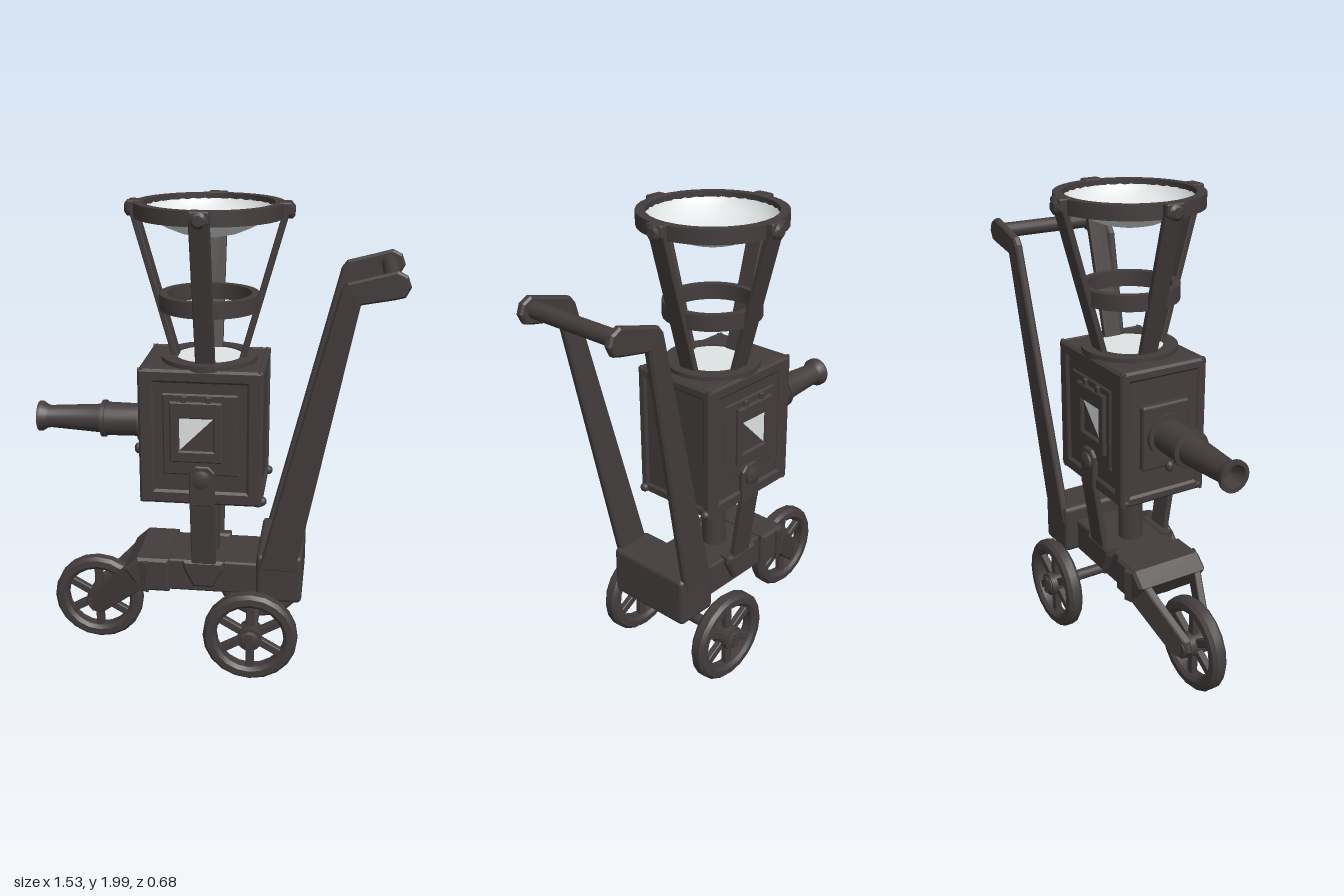
import * as THREE from 'three';
import { toCreasedNormals } from 'three/addons/utils/BufferGeometryUtils.js';
import { RoundedBoxGeometry } from 'three/addons/geometries/RoundedBoxGeometry.js';

const iron = new THREE.MeshStandardMaterial({ color: 0x433d3c });
iron.name = 'dark iron';
const white = new THREE.MeshStandardMaterial({ color: 0xe0e4e4, side: THREE.DoubleSide });
white.name = 'pale enamel';

const CX = -0.03; // axis of the hopper

function add(parent, name, geo, x = 0, y = 0, z = 0, mat = iron) {
  const m = new THREE.Mesh(geo, mat);
  m.name = name;
  m.position.set(x, y, z);
  parent.add(m);
  return m;
}
const box = (w, h, d, r = 0.012) => new RoundedBoxGeometry(w, h, d, 2, r);
const lathe = (pts, seg = 32) =>
  toCreasedNormals(new THREE.LatheGeometry(pts.map(p => new THREE.Vector2(...p)), seg), 0.7);
const band = (r0, r1, y0, y1, seg = 32) =>
  lathe([[r0, y0], [r1, y0], [r1, y1], [r0, y1], [r0, y0]], seg);

// Side outline in x/y, extruded to a slab centred on z = 0
function slab(pts, depth, hole, bevel = 0.005) {
  const shape = new THREE.Shape(pts.map(p => new THREE.Vector2(...p)));
  if (hole) shape.holes.push(new THREE.Path(hole.map(p => new THREE.Vector2(...p))));
  const g = new THREE.ExtrudeGeometry(shape, {
    depth: depth - 2 * bevel, bevelEnabled: bevel > 0, bevelSize: bevel,
    bevelThickness: bevel, bevelOffset: -bevel, bevelSegments: 1 });
  return g.translate(0, 0, bevel - depth / 2);
}
const rect = (x0, x1, y0, y1) => [[x0, y0], [x1, y0], [x1, y1], [x0, y1]];

// Slides each vertex in z by a rule of x and y
function shearZ(g, rule) {
  const p = g.attributes.position;
  for (let i = 0; i < p.count; i++) p.setZ(i, p.getZ(i) + rule(p.getX(i), p.getY(i)));
  g.computeVertexNormals();
  return g;
}

// Bar between two points, w along local x and d along local z
function beam(parent, name, a, b, w, d) {
  const A = new THREE.Vector3(...a), B = new THREE.Vector3(...b);
  const dir = B.clone().sub(A);
  const m = add(parent, name, box(w, dir.length(), d, 0.006));
  m.position.copy(A).add(B).multiplyScalar(0.5);
  m.quaternion.setFromUnitVectors(new THREE.Vector3(0, 1, 0), dir.normalize());
}

// Round bolt head on a face pointing along z
function bolt(parent, name, r, h, x, y, z) {
  const g = lathe([[0, -h], [r, -h], [r, h * 0.4], [r * 0.6, h], [0, h]], 16);
  g.rotateX(z < 0 ? -Math.PI / 2 : Math.PI / 2);
  add(parent, name, g, x, y, z);
}

function wheel(x, z, name) {
  const g = new THREE.Group();
  g.name = name;
  const tyre = lathe([[0.145, -0.022], [0.16, -0.035], [0.188, -0.033], [0.202, -0.018], [0.202, 0.018],
    [0.188, 0.033], [0.16, 0.035], [0.145, 0.022], [0.145, -0.022]], 20);
  add(g, 'tyre', tyre.rotateX(Math.PI / 2));
  for (let i = 0; i < 6; i++) {
    const a = Math.PI / 2 + i * Math.PI / 3;
    const s = add(g, 'spoke', box(0.13, 0.036, 0.03, 0.006), Math.cos(a) * 0.095, Math.sin(a) * 0.095);
    s.rotation.z = a;
  }
  add(g, 'hub', new THREE.CylinderGeometry(0.052, 0.052, 0.085, 16).rotateX(Math.PI / 2));
  g.position.set(x, 0.204, z);
  return g;
}

export function createModel() {
  const model = new THREE.Group();
  model.name = 'wheeled hopper cart';

  // Wheels and axles
  model.add(wheel(-0.54, 0, 'frontWheel'));
  for (const s of [1, -1]) {
    model.add(wheel(0.175, s * 0.265, 'rearWheel'));
    bolt(model, 'wheelCap', 0.042, 0.014, 0.175, 0.204, s * 0.306);
    add(model, 'wheelNut', box(0.03, 0.075, 0.014, 0.005), 0.175, 0.204, s * 0.315);
  }
  add(model, 'rearAxle', new THREE.CylinderGeometry(0.025, 0.025, 0.6, 16).rotateX(Math.PI / 2), 0.175, 0.204, 0);
  add(model, 'frontAxle', new THREE.CylinderGeometry(0.04, 0.04, 0.15, 16).rotateX(Math.PI / 2), -0.54, 0.204, 0);
  add(model, 'axleHanger', box(0.06, 0.18, 0.06), 0.175, 0.27, 0);

  // Chassis
  add(model, 'chassisBeam', box(0.46, 0.15, 0.28), 0.02, 0.405, 0);
  add(model, 'rearBlock', box(0.195, 0.22, 0.4, 0.02), 0.288, 0.44, 0);
  add(model, 'frontBlock', slab([[-0.19, 0.33], [-0.19, 0.485], [-0.33, 0.485], [-0.39, 0.43], [-0.32, 0.33]], 0.33, null, 0.012));
  for (const s of [1, -1]) {
    const arm = slab([[-0.28, 0.33], [-0.28, 0.475], [-0.34, 0.475], [-0.42, 0.39], [-0.575, 0.245],
      [-0.59, 0.2], [-0.56, 0.16], [-0.51, 0.165], [-0.32, 0.33]], 0.035);
    add(model, 'frontForkArm', shearZ(arm, x => s * (0.06 + 0.095 * (x + 0.55) / 0.25)));
    add(model, 'strapFoot', slab([[-0.13, 0.49], [-0.13, 0.455], [-0.085, 0.365], [0.005, 0.365],
      [0.05, 0.455], [0.05, 0.49]], 0.06, null, 0.012), 0, 0, s * 0.14);
  }
  add(model, 'centrePost', new THREE.CylinderGeometry(0.053, 0.053, 0.4, 20), -0.04, 0.6, 0);

  // Straps that carry the box
  for (const s of [1, -1]) {
    beam(model, 'strap', [-0.037, 0.45, s * 0.15], [-0.037, 0.79, s * 0.2], 0.105, 0.026);
    add(model, 'strapTop', slab([[-0.09, 0.77], [0.016, 0.77], [0.016, 0.92], [-0.01, 0.945],
      [-0.064, 0.945], [-0.09, 0.92]], 0.026), 0, 0, s * 0.2);
    bolt(model, 'strapBolt', 0.04, 0.012, -0.04, 0.89, s * 0.218);
  }

  // Box with raised borders on four sides
  const bx = -0.045;
  add(model, 'boxBody', box(0.49, 0.58, 0.375, 0.02), bx, 1.06, 0);
  for (const s of [1, -1]) {
    add(model, 'sideBorder', slab(rect(-0.3, 0.21, 0.77, 1.35), 0.03, rect(-0.235, 0.145, 0.83, 1.295), 0.01), 0, 0, s * 0.185);
    const end = slab(rect(-0.195, 0.195, 0.77, 1.35), 0.03, rect(-0.155, 0.155, 0.815, 1.305), 0.01);
    add(model, 'endBorder', end.rotateY(Math.PI / 2), bx + s * 0.24, 0, 0);
    // Window with a half pane
    add(model, 'windowPlate', slab(rect(-0.2, 0.11, 0.9, 1.25), 0.02, null, 0.006), 0, 0, s * 0.185);
    add(model, 'windowFrame', slab(rect(-0.17, 0.045, 0.96, 1.22), 0.03, rect(-0.13, 0.01, 1.01, 1.15), 0.006), 0, 0, s * 0.195);
    add(model, 'windowPane', slab([[-0.13, 1.01], [0.01, 1.15], [-0.13, 1.15]], 0.006, null, 0), 0, 0, s * 0.197, white);
    for (const x of [-0.11, -0.01]) add(model, 'windowHinge', box(0.025, 0.04, 0.02, 0.005), x, 1.225, s * 0.197);
    for (const x of [-0.285, 0.21]) add(model, 'boxFoot', new THREE.SphereGeometry(0.02, 12, 8), x, 0.79, s * 0.175);
  }

  // Nozzle with a hollow flared mouth
  add(model, 'nozzlePlate', box(0.04, 0.28, 0.22), -0.295, 1.06, 0);
  const nozzle = lathe([[0.09, 0], [0.09, 0.03], [0.07, 0.03], [0.072, 0.175], [0.08, 0.175], [0.08, 0.192],
    [0.062, 0.195], [0.048, 0.42], [0.052, 0.435], [0.065, 0.455], [0.065, 0.47], [0.048, 0.47], [0.035, 0.4], [0, 0.4]], 24);
  add(model, 'nozzle', nozzle.rotateZ(Math.PI / 2), -0.3, 1.065, 0);
  add(model, 'catchKnob', new THREE.SphereGeometry(0.024, 12, 10).scale(0.75, 1, 0.75), -0.34, 0.935, 0);
  add(model, 'catchPin', new THREE.CylinderGeometry(0.007, 0.007, 0.05, 8).rotateZ(Math.PI / 2), -0.315, 0.935, 0);

  // Hopper cage
  add(model, 'hopperBase', band(0.14, 0.2, 1.335, 1.368), CX);
  add(model, 'hopperFloor', new THREE.CylinderGeometry(0.145, 0.145, 0.008, 32), CX, 1.358, 0, white);
  add(model, 'middleRing', band(0.172, 0.205, 1.56, 1.625), CX);
  add(model, 'topRing', band(0.262, 0.3, 1.93, 1.988), CX);
  for (let i = 0; i < 4; i++) {
    const rib = new THREE.Group();
    rib.name = 'cageRib';
    beam(rib, 'ribBar', [0.138, 1.355, 0], [0.314, 1.985, 0], 0.026, 0.08);
    add(rib, 'ribHead', box(0.055, 0.05, 0.08, 0.008), 0.3, 1.967, 0);
    const head = lathe([[0, -0.012], [0.032, -0.012], [0.032, 0.004], [0.02, 0.014], [0, 0.014]], 16);
    add(rib, 'ribBolt', head.rotateZ(-Math.PI / 2), 0.325, 1.958, 0);
    rib.position.x = CX;
    rib.rotation.y = i * Math.PI / 2;
    model.add(rib);
  }

  // Shallow dish inside the top ring
  const dish = new THREE.LatheGeometry([[0.001, 1.85], [0.06, 1.855], [0.12, 1.869], [0.18, 1.894],
    [0.23, 1.927], [0.255, 1.952], [0.267, 1.978]].map(p => new THREE.Vector2(...p)), 40);
  add(model, 'dish', dish, CX, 0, 0, white);

  // Push handle
  for (const s of [1, -1]) {
    const arm = slab([[0.2, 0.48], [0.35, 0.48], [0.37, 0.56], [0.575, 1.642], [0.7, 1.665], [0.74, 1.675],
      [0.76, 1.715], [0.745, 1.755], [0.705, 1.775], [0.66, 1.762], [0.52, 1.725], [0.498, 1.695]], 0.034, null, 0.008);
    add(model, 'handleArm', shearZ(arm, (x, y) => s * (0.188 + 0.042 * Math.min(1, (y - 0.5) / 1.1))));
  }
  add(model, 'handleGrip', new THREE.CylinderGeometry(0.033, 0.033, 0.46, 16).rotateX(Math.PI / 2), 0.695, 1.72, 0);

  return model;
}
